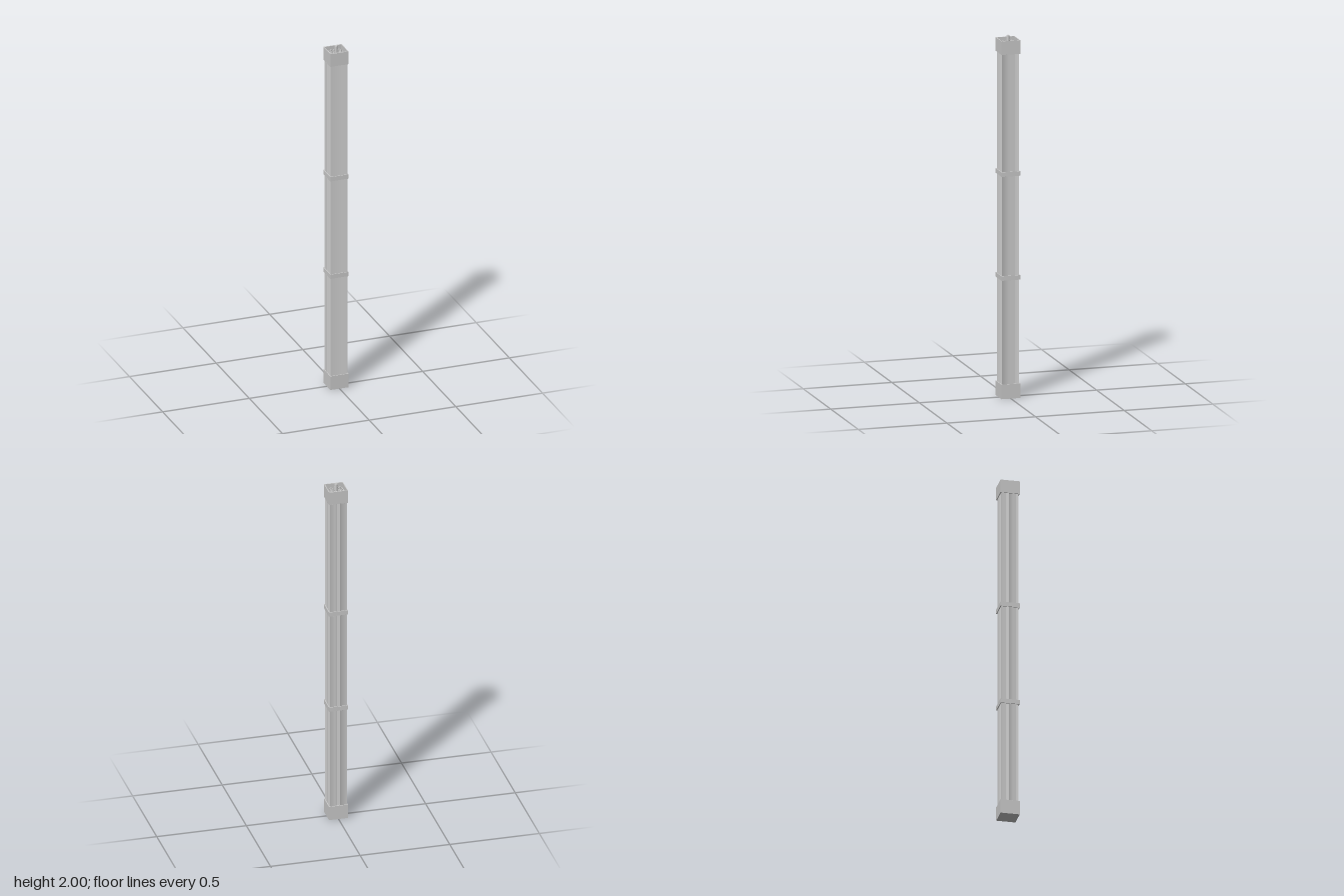
import * as THREE from 'three';
import { mergeGeometries } from 'three/addons/utils/BufferGeometryUtils.js';

const HALF = 0.053;     // half width of the end blocks and bands
const INNER = 0.0485;   // half width of the frame openings
const PITCH = 0.0058;   // rod spacing
const N = 8;            // rods on each side of the middle one

const material = new THREE.MeshStandardMaterial({ color: 0xcccccc });

function addMesh(group, name, geometry) {
  const mesh = new THREE.Mesh(geometry, material);
  mesh.name = name;
  group.add(mesh);
}

function rod(x, z, radius, y0, y1, sides = 10) {
  return new THREE.CylinderGeometry(radius, radius, y1 - y0, sides).translate(x, (y0 + y1) / 2, z);
}

// square shape traced around the middle
function square(h, Type) {
  const s = new Type();
  s.moveTo(-h, -h);
  s.lineTo(h, -h);
  s.lineTo(h, h);
  s.lineTo(-h, h);
  s.closePath();
  return s;
}

// open square frame between two heights
function frame(y0, y1) {
  const s = square(HALF, THREE.Shape);
  s.holes.push(square(INNER, THREE.Path));
  return new THREE.ExtrudeGeometry(s, { depth: y1 - y0, bevelEnabled: false })
    .rotateX(-Math.PI / 2).translate(0, y0, 0);
}

// grid cells that hold wider guide tubes
function isGuide(i, j) {
  const a = Math.abs(i), b = Math.abs(j);
  return (a === 5 && b === 5) || (a % 3 === 0 && b % 3 === 0 && a <= 6 && b <= 6 && a + b < 12);
}

export function createModel() {
  const group = new THREE.Group();
  group.name = 'rodBundle';

  // solid foot, open head frame
  addMesh(group, 'bottomBlock', new THREE.BoxGeometry(HALF * 2, 0.08, HALF * 2).translate(0, 0.04, 0));
  addMesh(group, 'topFrame', frame(1.905, 1.98));

  // spacer bands
  addMesh(group, 'lowerBand', frame(0.655, 0.68));
  addMesh(group, 'upperBand', frame(1.23, 1.255));

  // square grid of thin rods with guide tubes between them
  const rods = [], guides = [];
  for (let i = -N; i <= N; i++) {
    for (let j = -N; j <= N; j++) {
      if (i === 0 && j === 0) continue;
      if (isGuide(i, j)) guides.push(rod(i * PITCH, j * PITCH, 0.0034, 0.07, 1.965, 12));
      else rods.push(rod(i * PITCH, j * PITCH, 0.0025, 0.07, 1.95));
    }
  }
  addMesh(group, 'rods', mergeGeometries(rods));
  addMesh(group, 'guideTubes', mergeGeometries(guides));

  // central tube and its wider head standing above the frame
  addMesh(group, 'centralTube', rod(0, 0, 0.0034, 0.07, 1.93, 12));
  addMesh(group, 'centralHead', rod(0, 0, 0.009, 1.92, 2, 16));

  return group;
}
